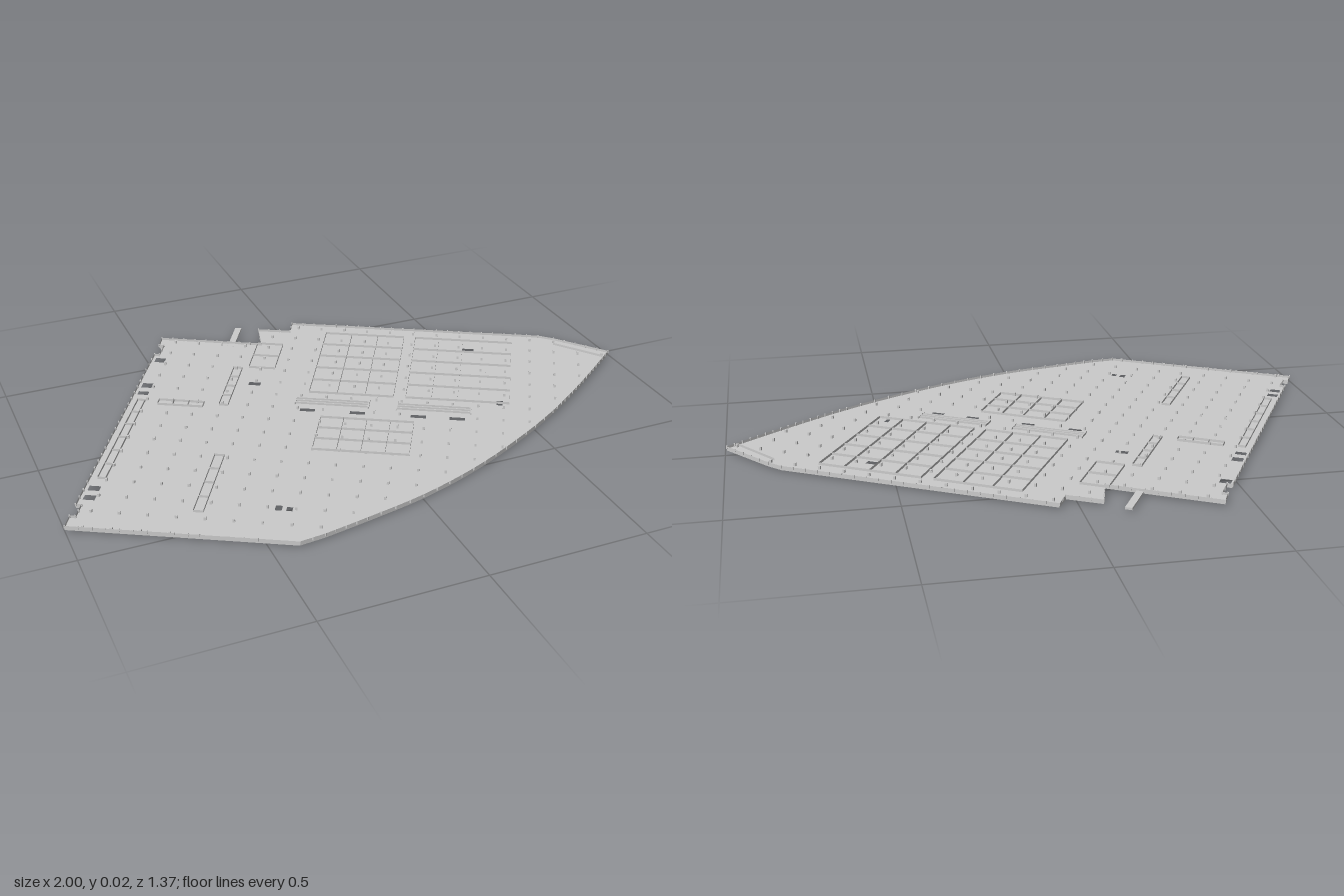
import * as THREE from 'three';
import { mergeGeometries } from 'three/addons/utils/BufferGeometryUtils.js';

const FLOOR = 0.011, TOP = 0.021;
const C = Math.cos(Math.PI / 6), S = 0.5;
// plan axes are turned by 30 degrees: (x, z) -> (p, q)
const loc = ([x, z]) => [x * C + z * S, -x * S + z * C];

export function createModel() {
  const model = new THREE.Group();
  const plan = new THREE.Group();
  plan.name = 'floorPlan';
  plan.rotation.y = -Math.PI / 6;
  model.add(plan);
  const solid = new THREE.MeshStandardMaterial({ color: 0xcccccc, flatShading: true });
  const thin = new THREE.MeshStandardMaterial({ color: 0xcccccc, flatShading: true, side: THREE.DoubleSide });
  const add = (name, geometry, material = solid) => {
    const mesh = new THREE.Mesh(geometry, material);
    mesh.name = name;
    plan.add(mesh);
  };
  const box = (p, q, w, d, y0, y1) =>
    new THREE.BoxGeometry(w, y1 - y0, d).translate(p, (y0 + y1) / 2, q);
  const wall = ([p0, q0], [p1, q1], y1 = TOP - 0.002) =>
    new THREE.PlaneGeometry(Math.hypot(p1 - p0, q1 - q0), y1 - FLOOR)
      .rotateY(-Math.atan2(q1 - q0, p1 - p0))
      .translate((p0 + p1) / 2, (FLOOR + y1) / 2, (q0 + q1) / 2);
  const slab = (points, holes, y0, y1) => {
    const shape = new THREE.Shape(points.map(([p, q]) => new THREE.Vector2(p, -q)));
    for (const [p, q, w, d] of holes) {
      shape.holes.push(new THREE.Path([[-1, -1], [-1, 1], [1, 1], [1, -1]]
        .map(([a, b]) => new THREE.Vector2(p + a * w / 2, -q + b * d / 2))));
    }
    return new THREE.ExtrudeGeometry(shape, { depth: y1 - y0, bevelEnabled: false })
      .rotateX(-Math.PI / 2).translate(0, y0, 0);
  };

  // outline: straight back, pointed end, bowed front, notched side
  const bow = new THREE.CatmullRomCurve3([[0.995, 0.03], [0.8, 0.18], [0.6, 0.32], [0.4, 0.435], [0.2, 0.53],
    [0, 0.6], [-0.2, 0.645], [-0.34, 0.672]].map(([x, z]) => new THREE.Vector3(x, 0, z)))
    .getPoints(28).map(v => [v.x, v.z]);
  const notch = (q0, q1) => [[-0.692, q1], [-0.675, q1], [-0.675, q0], [-0.692, q0]];
  const outline = [
    ...[[-0.41, -0.68], [-0.1, -0.5], [-0.07, -0.61], [0.03, -0.555], [0.06, -0.61], [0.83, -0.17], [0.87, -0.13],
      ...bow, [-0.42, 0.68], [-1, 0.35]].map(loc),
    ...notch(0.69, 0.75), ...notch(-0.33, -0.26)
  ];

  // floor openings [p, q, width, depth]
  const shafts = [[-0.11, 0.05, 0.05, 0.028], [0.053, 0.05, 0.05, 0.028],
    [0.25, 0.05, 0.05, 0.028], [0.375, 0.05, 0.05, 0.028], [0.508, -0.07, 0.02, 0.04]];
  const openings = [...shafts, [-0.31, -0.1, 0.04, 0.02], [0.39, -0.433, 0.04, 0.02],
    [-0.665, -0.229, 0.035, 0.03], [-0.665, -0.045, 0.035, 0.03], [-0.665, 0.008, 0.035, 0.022],
    [-0.665, 0.592, 0.035, 0.025], [-0.665, 0.642, 0.035, 0.025], [-0.11, 0.63, 0.02, 0.025], [-0.078, 0.632, 0.018, 0.02]];
  add('floorSlab', slab(outline, openings, 0.005, FLOOR));
  add('lowerPanel', slab([[-0.24, -0.38], [0.54, -0.38], [0.54, 0.12], [-0.24, 0.12]], shafts, 0, 0.005));
  add('projectingBridge', box(-0.443, -0.437, 0.022, 0.145, 0.005, 0.012));

  // low parapet and its small pilasters
  const rim = [], ticks = [];
  outline.forEach((a, i) => {
    const b = outline[(i + 1) % outline.length];
    rim.push(wall(a, b));
    const n = Math.max(1, Math.round(Math.hypot(b[0] - a[0], b[1] - a[1]) / 0.04));
    for (let k = 0; k < n; k++) {
      const t = k / n;
      ticks.push(box(a[0] + (b[0] - a[0]) * t, a[1] + (b[1] - a[1]) * t, 0.004, 0.004, FLOOR, TOP));
    }
  });
  add('parapet', mergeGeometries(rim), thin);
  add('parapetPosts', mergeGeometries(ticks));

  // columns on a regular grid inside the outline
  const inside = (p, q) => outline.reduce((hit, [p0, q0], i) => {
    const [p1, q1] = outline[(i + 1) % outline.length];
    return (q0 > q) !== (q1 > q) && p < p0 + (q - q0) / (q1 - q0) * (p1 - p0) ? !hit : hit;
  }, false);
  const clear = (p, q) => openings.every(([a, b, w, d]) => Math.abs(p - a) > w / 2 + 0.004 || Math.abs(q - b) > d / 2 + 0.004);
  const columns = [];
  for (let p = -0.64; p < 0.9; p += 0.083) {
    for (let q = -0.53; q < 0.8; q += 0.083) {
      if (inside(p, q) && clear(p, q)) columns.push(box(p, q, 0.007, 0.007, FLOOR, TOP));
    }
  }
  add('columns', mergeGeometries(columns));

  // partition walls: blocks of rooms with cross walls
  const partitions = [];
  const rooms = (p0, p1, q0, q1, cols, rows) => {
    for (let i = 0; i <= cols; i++) {
      const p = p0 + (p1 - p0) * i / cols;
      partitions.push(wall([p, q0], [p, q1]));
    }
    for (let j = 0; j <= rows; j++) {
      const q = q0 + (q1 - q0) * j / rows;
      partitions.push(wall([p0, q], [p1, q]));
    }
  };
  rooms(-0.12, 0.16, -0.5, -0.06, 3, 5);
  rooms(0.2, 0.54, -0.5, -0.06, 4, 5);
  rooms(-0.06, 0.24, 0.1, 0.3, 4, 3);
  rooms(-0.35, -0.32, 0.37, 0.68, 1, 4);
  rooms(-0.4, -0.37, -0.2, 0.06, 1, 4);
  rooms(-0.35, -0.26, -0.39, -0.21, 1, 2);
  rooms(-0.67, -0.645, 0.06, 0.54, 1, 6);
  rooms(-0.6, -0.45, 0.05, 0.08, 3, 1);
  partitions.push(wall(loc([0.85, -0.1]), loc([0.96, 0.05])));
  add('partitionWalls', mergeGeometries(partitions), thin);

  // pairs of long stair rails beside the shafts
  const rails = [];
  for (const p of [-0.035, 0.297]) {
    for (const q of [-0.015, 0, 0.015]) rails.push(box(p, q, 0.24, 0.004, FLOOR, 0.018));
    for (const s of [-1, 1]) rails.push(box(p + s * 0.12, 0, 0.004, 0.05, FLOOR, 0.018));
  }
  add('stairRails', mergeGeometries(rails));
  return model;
}
